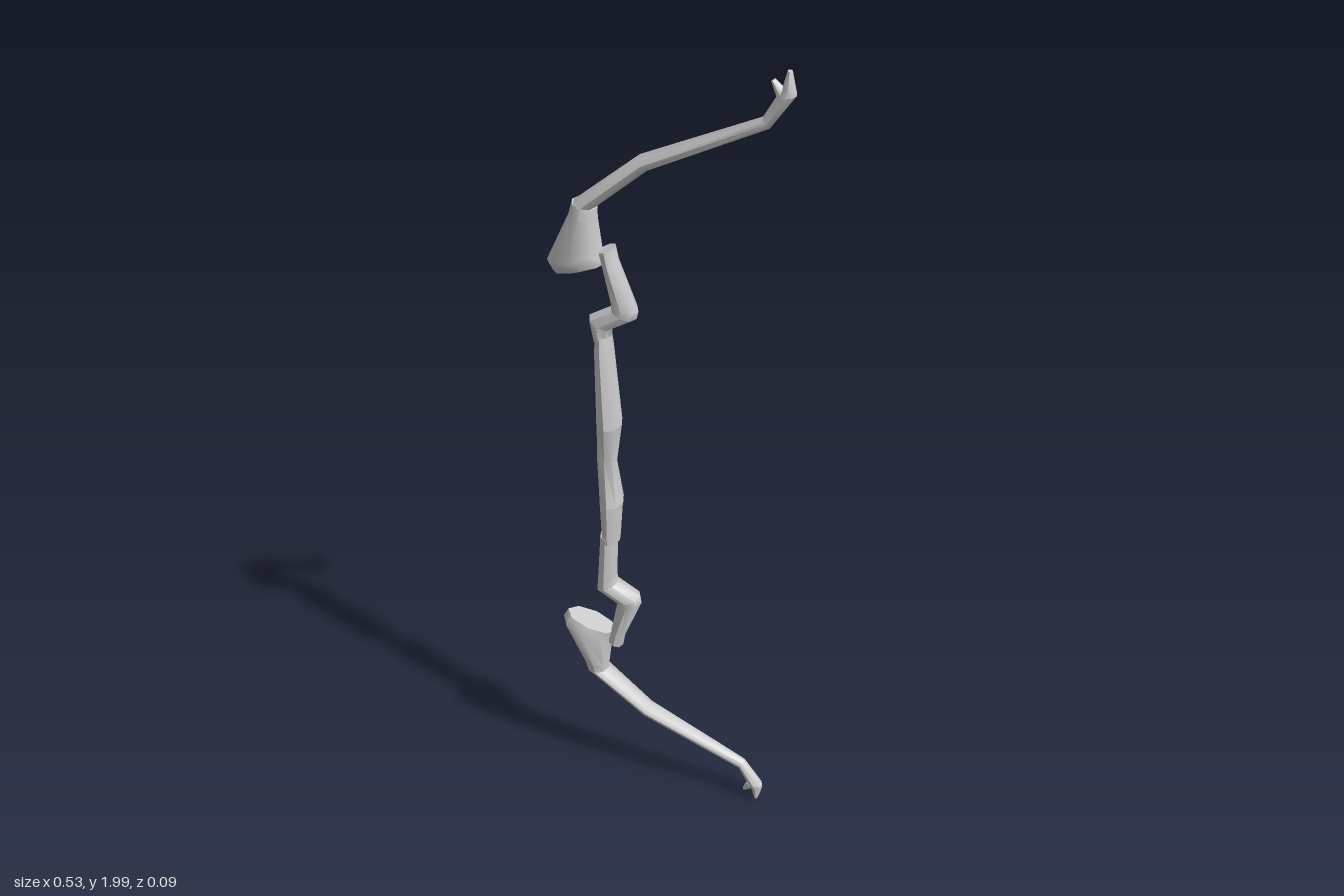
import * as THREE from 'three';
import { toCreasedNormals } from 'three/addons/utils/BufferGeometryUtils.js';

const SIDES = 8;
const MIRROR = 2.006; // upper and lower halves mirror about half this height
const material = new THREE.MeshStandardMaterial({ color: 0xcccccc, roughness: 0.8 });

// Lofts octagonal rings, top to bottom.
// Each section is [leftX, leftY, rightX, rightY, halfDepth].
function loft(name, sections) {
  const pos = [], idx = [];
  for (const [ax, ay, bx, by, w] of sections) {
    for (let j = 0; j < SIDES; j++) {
      const a = (j / SIDES) * Math.PI * 2, c = Math.cos(a) / 2;
      pos.push((ax + bx) / 2 + (bx - ax) * c, (ay + by) / 2 + (by - ay) * c, w * Math.sin(a));
    }
  }
  const last = (sections.length - 1) * SIDES;
  for (let i = 0; i < last; i += SIDES) {
    for (let j = 0; j < SIDES; j++) {
      const k = (j + 1) % SIDES;
      idx.push(i + j, i + k, i + SIDES + j, i + k, i + SIDES + k, i + SIDES + j);
    }
  }
  // end caps
  for (let j = 1; j < SIDES - 1; j++) {
    idx.push(0, j + 1, j, last, last + j, last + j + 1);
  }
  const geometry = new THREE.BufferGeometry();
  geometry.setAttribute('position', new THREE.Float32BufferAttribute(pos, 3));
  geometry.setIndex(idx);
  const mesh = new THREE.Mesh(toCreasedNormals(geometry, 0.82), material);
  mesh.name = name;
  return mesh;
}

const flip = (sections) =>
  sections.map(([ax, ay, bx, by, w]) => [ax, MIRROR - ay, bx, MIRROR - by, w]).reverse();

// Parts that appear on both halves
const halfParts = {
  Limb: [
    [0.225, 1.945, 0.265, 1.95, 0.018],
    [0.2, 1.9, 0.214, 1.876, 0.014],
    [-0.055, 1.785, -0.04, 1.75, 0.024],
    [-0.205, 1.66, -0.158, 1.648, 0.031],
  ],
  Tip: [
    [0.245, 2.0, 0.255, 1.998, 0.007],
    [0.236, 1.965, 0.265, 1.958, 0.016],
    [0.225, 1.945, 0.265, 1.95, 0.018],
  ],
  Hook: [
    [0.213, 1.974, 0.221, 1.98, 0.006],
    [0.224, 1.945, 0.245, 1.96, 0.014],
  ],
  Fin: [
    [-0.207, 1.662, -0.15, 1.65, 0.031],
    [-0.215, 1.63, -0.15, 1.63, 0.034],
    [-0.27, 1.51, -0.14, 1.548, 0.045],
    [-0.257, 1.485, -0.13, 1.525, 0.034],
  ],
  Elbow: [
    [-0.15, 1.55, -0.112, 1.565, 0.024],
    [-0.14, 1.51, -0.106, 1.53, 0.026],
    [-0.125, 1.43, -0.062, 1.415, 0.03],
    [-0.125, 1.418, -0.066, 1.396, 0.031],
    [-0.176, 1.388, -0.122, 1.362, 0.031],
    [-0.165, 1.33, -0.128, 1.325, 0.028],
  ],
};

export function createModel() {
  const bow = new THREE.Group();
  bow.name = 'recurveBow';

  for (const [name, sections] of Object.entries(halfParts)) {
    bow.add(loft('upper' + name, sections), loft('lower' + name, flip(sections)));
  }

  // Riser above the handle
  bow.add(loft('upperRiser', [
    [-0.163, 1.345, -0.126, 1.345, 0.029],
    [-0.165, 1.3, -0.122, 1.31, 0.033],
    [-0.165, 1.11, -0.105, 1.11, 0.041],
  ]));

  // Waisted handle
  bow.add(loft('handle', [
    [-0.165, 1.11, -0.105, 1.11, 0.041],
    [-0.168, 1.01, -0.118, 1.01, 0.021],
    [-0.162, 0.89, -0.105, 0.89, 0.04],
  ]));

  // Riser below the handle, in two overlapping pieces
  bow.add(loft('lowerRiser', [
    [-0.162, 0.89, -0.106, 0.89, 0.04],
    [-0.158, 0.775, -0.115, 0.775, 0.034],
  ]));
  bow.add(loft('lowerRiserFoot', [
    [-0.163, 0.79, -0.12, 0.79, 0.033],
    [-0.176, 0.622, -0.125, 0.647, 0.031],
  ]));

  return bow;
}
